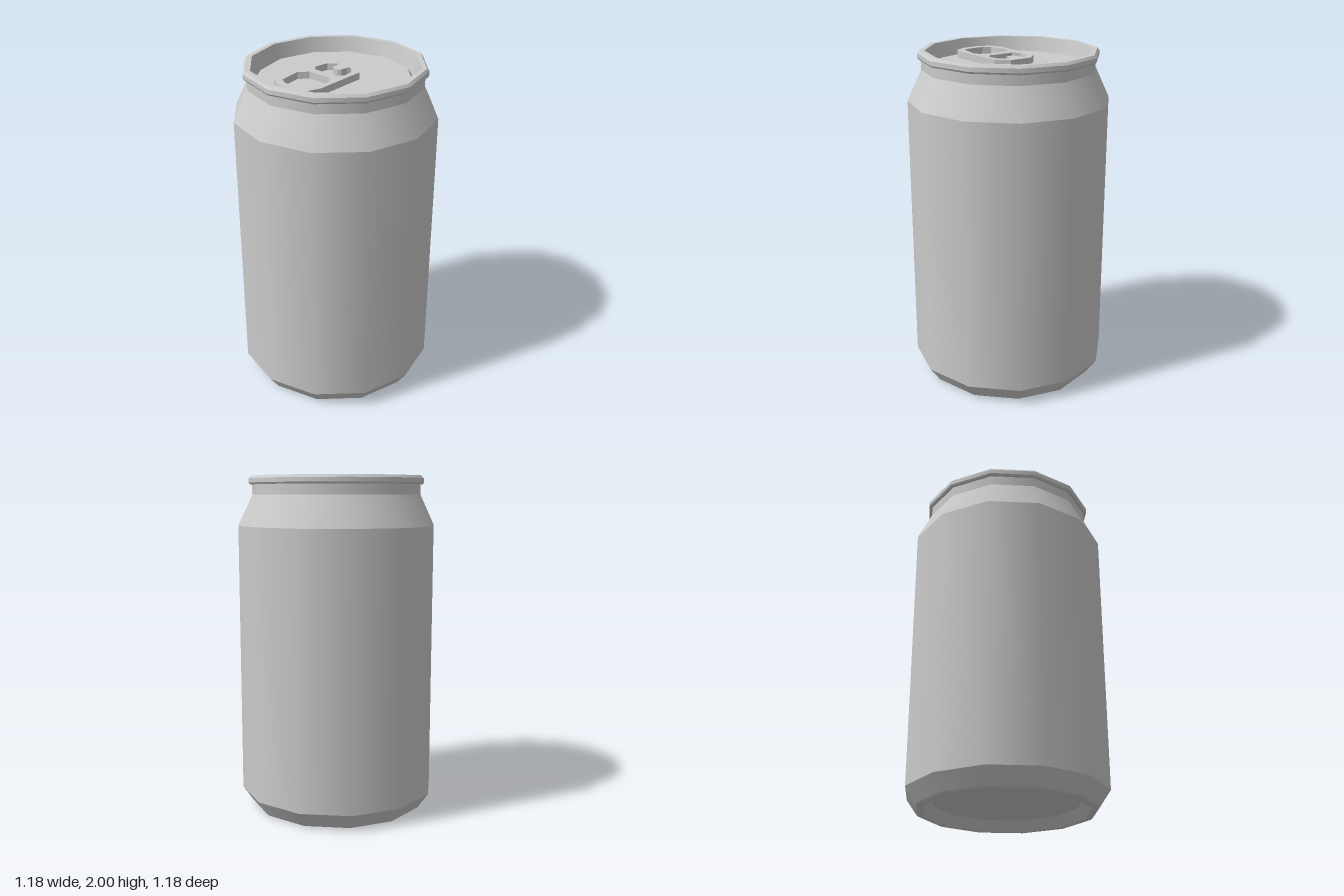
import * as THREE from 'three';
import { mergeGeometries } from 'three/addons/utils/BufferGeometryUtils.js';

const SIDES = 12;
const material = new THREE.MeshStandardMaterial({ color: 0xcccccc, side: THREE.DoubleSide });

// Lathe whose bands are smooth around the can but crisp where the profile bends
function bandedLathe(name, profile) {
  const bands = [];
  for (let i = 0; i < profile.length - 1; i++) {
    const pair = [profile[i], profile[i + 1]].map(([r, y]) => new THREE.Vector2(r, y));
    bands.push(new THREE.LatheGeometry(pair, SIDES));
  }
  const mesh = new THREE.Mesh(mergeGeometries(bands), material);
  mesh.name = name;
  return mesh;
}

// Closed outline from one half, mirrored across the tab's long axis
function mirrored(half) {
  const other = half.map(([x, y]) => [x, -y]).reverse();
  return [...half, ...other].map(([x, y]) => new THREE.Vector2(x, y));
}

function pullTab(y, thickness) {
  const shape = new THREE.Shape(mirrored([
    [-0.39, 0.055], [-0.355, 0.125], [-0.28, 0.152], [0.05, 0.138], [0.115, 0.07],
  ]));
  // Finger hole
  shape.holes.push(new THREE.Path(mirrored([
    [-0.345, 0.05], [-0.32, 0.095], [-0.18, 0.12], [-0.13, 0.075],
  ])));
  // Rivet hole with its small tongue
  shape.holes.push(new THREE.Path(mirrored([
    [-0.08, 0.08], [-0.04, 0.11], [0.04, 0.097], [0.076, 0.048],
    [0.057, 0.035], [0.017, 0.032], [0.003, 0.015],
  ])));
  const geometry = new THREE.ExtrudeGeometry(shape, { depth: thickness, bevelEnabled: false });
  geometry.rotateX(-Math.PI / 2);
  const mesh = new THREE.Mesh(geometry, material);
  mesh.name = 'pullTab';
  mesh.position.y = y;
  return mesh;
}

export function createModel() {
  const can = new THREE.Group();
  can.name = 'drinkCan';
  const lidY = 1.92;

  can.add(
    // Recessed underside and standing ring
    bandedLathe('base', [[0, 0.06], [0.437, 0.06], [0.485, 0], [0.518, 0], [0.53, 0.01], [0.592, 0.1]]),
    // Straight wall, sloping shoulder and neck
    bandedLathe('body', [[0.592, 0.1], [0.592, 1.71], [0.507, 1.89], [0.507, 1.95]]),
    // Rolled lip
    bandedLathe('rim', [[0.507, 1.95], [0.52, 1.95], [0.527, 1.96], [0.527, 1.985], [0.515, 2], [0.485, 2]]),
    // Inner wall, groove and flat lid
    bandedLathe('lid', [[0.485, 2], [0.46, 1.885], [0.437, lidY], [0, lidY]]),
    pullTab(lidY, 0.04),
  );
  return can;
}
